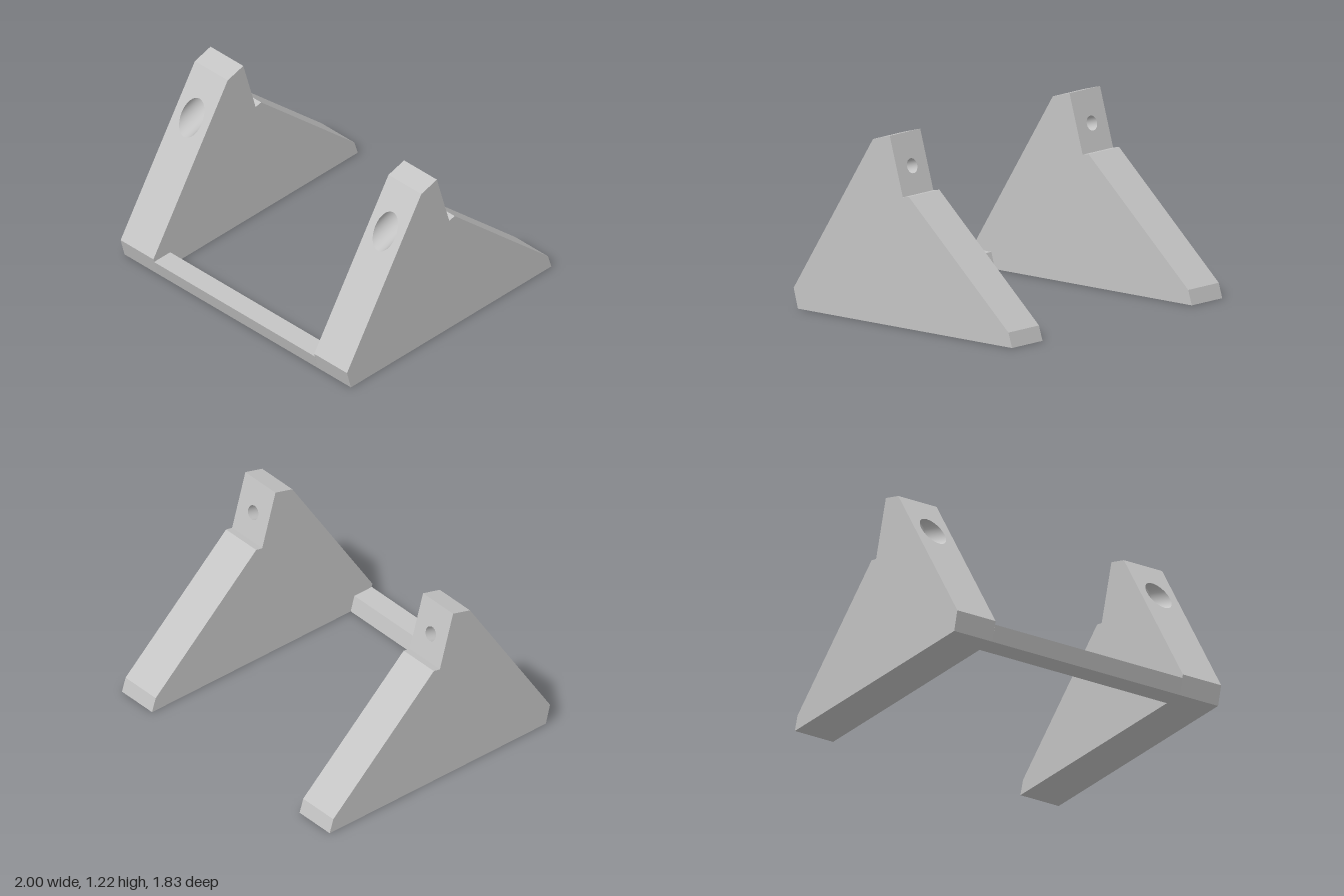
import * as THREE from 'three';
import { mergeGeometries } from 'three/addons/utils/BufferGeometryUtils.js';

const SEG = 32;

// Profiles as [z, y], running up the front, over the top and down the back
const BRACKET = [[0.88, 0], [0.915, 0.13], [0.25, 1.18], [0.11, 1.22], [0, 0.84], [-0.05, 0.85], [-0.885, 0.095], [-0.915, 0]];
const BAR = [[0.88, 0], [0.91, 0.107], [0.765, 0.107], [0.735, 0]];
const FRONT_EDGE = 1, BACK_EDGE = 3;
const BRACKET_WIDTH = 0.29;
const BIG_R = 0.088, SMALL_R = 0.048, FLOOR = 0.16;

// Flat strip between two profile points, with an optional elliptical hole
function panel(a, b, width, hole) {
  const len = Math.hypot(b[0] - a[0], b[1] - a[1]);
  const w = width / 2;
  const shape = new THREE.Shape([[-w, 0], [w, 0], [w, len], [-w, len]].map(p => new THREE.Vector2(...p)));
  if (hole) {
    const path = new THREE.Path();
    path.absellipse(0, hole.at, hole.rx, hole.ry, 0, Math.PI * 2, true);
    shape.holes.push(path);
  }
  const x = new THREE.Vector3(1, 0, 0);
  const y = new THREE.Vector3(0, b[1] - a[1], b[0] - a[0]).normalize();
  const m = new THREE.Matrix4().makeBasis(x, y, x.clone().cross(y)).setPosition(0, a[1], a[0]);
  return new THREE.ShapeGeometry(shape, SEG / 2).applyMatrix4(m);
}

// Closed prism along x whose edge strips may carry holes
function prism(profile, width, holes = {}) {
  const parts = profile.map((a, i) => panel(a, profile[(i + 1) % profile.length], width, holes[i]));
  for (const side of [1, -1]) {
    const outline = new THREE.Shape(profile.map(([z, y]) => new THREE.Vector2(-side * z, y)));
    parts.push(new THREE.ShapeGeometry(outline).rotateY(side * Math.PI / 2).translate(side * width / 2, 0, 0));
  }
  return mergeGeometries(parts);
}

// Inward-facing bore along z; the far rim is slanted by the factor slant
function bore(r, z0, z1, slant) {
  const pos = [], nor = [], idx = [];
  for (let i = 0; i < SEG; i++) {
    const t = i / SEG * Math.PI * 2, c = Math.cos(t), s = Math.sin(t);
    pos.push(r * c, r * s, z0, r * c, r * s, z1 - slant * r * s);
    nor.push(-c, -s, 0, -c, -s, 0);
    const a = 2 * i, b = 2 * ((i + 1) % SEG);
    idx.push(a, a + 1, b, b, a + 1, b + 1);
  }
  const g = new THREE.BufferGeometry();
  g.setAttribute('position', new THREE.Float32BufferAttribute(pos, 3));
  g.setAttribute('normal', new THREE.Float32BufferAttribute(nor, 3));
  g.setIndex(idx);
  return g;
}

export function createModel() {
  const model = new THREE.Group();
  const grey = new THREE.MeshStandardMaterial({ color: 0xc4c4c4 });
  grey.name = 'light grey';
  const add = (parent, name, geometry) => {
    const mesh = new THREE.Mesh(geometry, grey);
    mesh.name = name;
    parent.add(mesh);
    return mesh;
  };
  const vec = ([z, y]) => new THREE.Vector3(0, y, z);

  // Screw hole axis: square to the upper back face, running to the front slope
  const backTop = vec(BRACKET[BACK_EDGE]), backLow = vec(BRACKET[BACK_EDGE + 1]);
  const up = backTop.clone().sub(backLow).normalize();
  const axis = new THREE.Vector3(1, 0, 0).cross(up);
  const start = backLow.clone().lerp(backTop, 0.455);
  const foot = vec(BRACKET[FRONT_EDGE]);
  const slope = vec(BRACKET[FRONT_EDGE + 1]).sub(foot).normalize();
  const normal = new THREE.Vector3(1, 0, 0).cross(slope);
  const facing = axis.dot(normal);
  const depth = foot.clone().sub(start).dot(normal) / facing;
  const exit = start.clone().addScaledVector(axis, depth);

  const bracketGeometry = prism(BRACKET, BRACKET_WIDTH, {
    [FRONT_EDGE]: { at: exit.distanceTo(foot), rx: BIG_R, ry: BIG_R / facing },
    [BACK_EDGE]: { at: start.distanceTo(backTop), rx: SMALL_R, ry: SMALL_R },
  });
  const smallBore = bore(SMALL_R, 0, FLOOR, 0);
  const bigBore = bore(BIG_R, FLOOR, depth, up.dot(normal) / facing);
  const seat = new THREE.RingGeometry(SMALL_R, BIG_R, SEG).translate(0, 0, FLOOR);

  // Mirrored pair of brackets with countersunk screw holes
  for (const [name, side] of [['left', 1], ['right', -1]]) {
    const bracket = new THREE.Group();
    bracket.name = name + 'Bracket';
    bracket.position.x = side * (1 - BRACKET_WIDTH / 2);
    add(bracket, name + 'BracketBody', bracketGeometry);

    const hole = new THREE.Group();
    hole.name = name + 'ScrewHole';
    hole.position.copy(start);
    hole.rotation.x = Math.atan2(up.z, up.y);
    add(hole, 'screwBore', smallBore);
    add(hole, 'screwHeadBore', bigBore);
    add(hole, 'screwHeadSeat', seat);
    bracket.add(hole);
    model.add(bracket);
  }

  // Bar joining the brackets at the front
  add(model, 'frontCrossbar', prism(BAR, 2 - 2 * BRACKET_WIDTH));
  return model;
}
